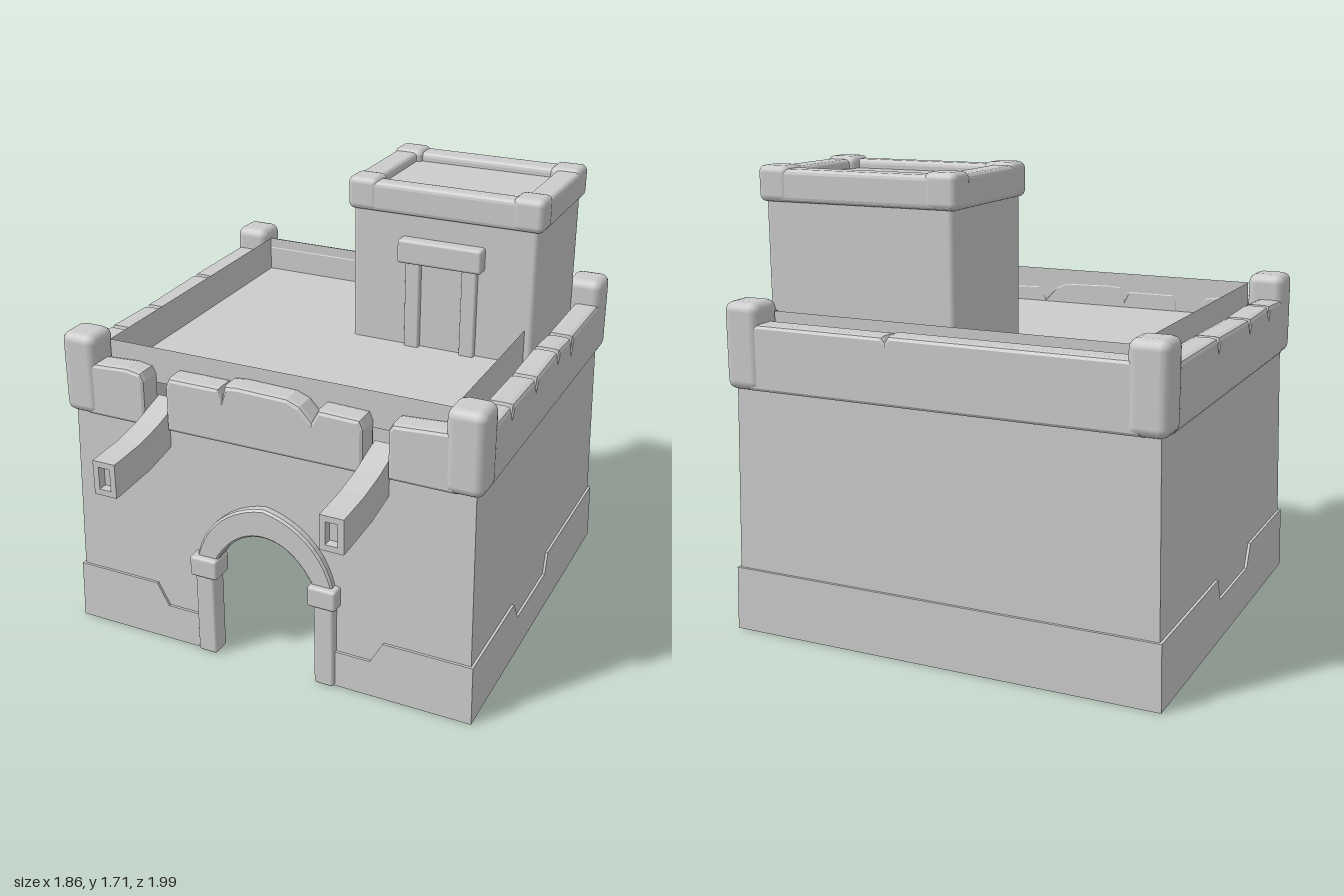
import * as THREE from 'three';
import { RoundedBoxGeometry } from 'three/addons/geometries/RoundedBoxGeometry.js';

const stone = new THREE.MeshStandardMaterial({ color: 0xcccccc, side: THREE.DoubleSide });
stone.name = 'stone';

const HW = 0.825, HD = 0.735;      // half width and half depth of the walls at the ground
const WALL_TOP = 0.94, TAPER = 0.02;
const lean = (y) => (TAPER * y) / WALL_TOP;

function add(parent, name, geometry, x = 0, y = 0, z = 0) {
  const mesh = new THREE.Mesh(geometry, stone);
  mesh.name = name;
  mesh.position.set(x, y, z);
  parent.add(mesh);
  return mesh;
}
const block = (w, h, d, r = 0.012) => new RoundedBoxGeometry(w, h, d, 2, r);
const poly = (pts) => new THREE.Shape(pts.map(([x, y]) => new THREE.Vector2(x, y)));

// Lean a flat panel inward with height
function leaning(geometry) {
  const p = geometry.attributes.position;
  for (let i = 0; i < p.count; i++) p.setZ(i, p.getZ(i) - lean(p.getY(i)));
  geometry.computeVertexNormals();
  return geometry;
}

// One wall sheet; optionally with the gateway cut out of its foot
function wallShape(half, gate) {
  const s = new THREE.Shape();
  s.moveTo(-half, 0);
  if (gate) {
    s.lineTo(-0.24, 0);
    s.lineTo(-0.24, 0.43);
    s.absellipse(0, 0.43, 0.24, 0.2, Math.PI, 0, true);
    s.lineTo(0.24, 0);
  }
  s.lineTo(half, 0);
  s.lineTo(half - TAPER, WALL_TOP);
  s.lineTo(-half + TAPER, WALL_TOP);
  return s;
}

// Thin raised footing on a wall
function footing(side, pts) {
  const g = new THREE.ExtrudeGeometry(poly(pts), { depth: 0.01, bevelEnabled: false });
  add(side, 'footing', leaning(g));
}

// Bevelled parapet section; the top line runs from left to right
function parapet(side, top) {
  const a = top[0][0], b = top[top.length - 1][0];
  const shape = poly([[a, 0.92], [b, 0.92], ...[...top].reverse()]);
  const g = new THREE.ExtrudeGeometry(shape, {
    depth: 0.06, bevelThickness: 0.02, bevelSize: 0.014, bevelOffset: -0.014, bevelSegments: 2,
  });
  add(side, 'parapet', g, 0, 0, -0.075);
}
// Narrow V shaped seam in a parapet top
const seam = (x, y1, y2 = y1, depth = 0.04) => [[x - 0.012, y1], [x, Math.min(y1, y2) - depth], [x + 0.012, y2]];

function makeSide(castle, name, half, distance, angle, gate) {
  const pivot = new THREE.Group();
  pivot.name = name;
  pivot.rotation.y = angle;
  castle.add(pivot);
  const side = new THREE.Group();
  side.name = name + 'Panel';
  side.position.z = distance;
  pivot.add(side);
  add(side, 'wall', leaning(new THREE.ShapeGeometry(wallShape(half, gate), 16)));
  return side;
}

function buildGate(front) {
  const gate = new THREE.Group();
  gate.name = 'gateway';
  front.add(gate);
  const arch = new THREE.Shape();
  arch.moveTo(-0.285, 0.42);
  arch.bezierCurveTo(-0.25, 0.58, -0.13, 0.67, 0, 0.69);
  arch.bezierCurveTo(0.13, 0.67, 0.25, 0.58, 0.285, 0.42);
  arch.lineTo(0.2, 0.42);
  arch.bezierCurveTo(0.14, 0.53, 0.07, 0.57, 0, 0.57);
  arch.bezierCurveTo(-0.07, 0.57, -0.14, 0.53, -0.2, 0.42);
  add(gate, 'arch', new THREE.ExtrudeGeometry(arch, {
    depth: 0.05, curveSegments: 10, bevelThickness: 0.008, bevelSize: 0.008, bevelOffset: -0.008, bevelSegments: 1,
  }), 0, 0, -0.04);
  for (const s of [-1, 1]) {
    add(gate, 'jamb', block(0.08, 0.36, 0.08), s * 0.25, 0.18, -0.012);
    add(gate, 'capital', block(0.115, 0.085, 0.1), s * 0.247, 0.388, -0.008);
  }
}

// Bent beam poking out through a gap in the front parapet
function buildBeam(castle, x) {
  const beam = new THREE.Group();
  beam.name = 'beam';
  beam.position.x = x;
  castle.add(beam);
  const profile = poly([
    [0.64, 0.87], [0.74, 0.842], [0.86, 0.82], [1.05, 0.812],
    [1.05, 0.945], [0.92, 0.95], [0.8, 0.968], [0.64, 1.01],
  ]);
  const g = new THREE.ExtrudeGeometry(profile, { depth: 0.09, bevelEnabled: false });
  add(beam, 'beamShaft', g.rotateY(-Math.PI / 2).translate(0.045, 0, 0));
  const end = poly([[-0.045, 0.812], [0.045, 0.812], [0.045, 0.945], [-0.045, 0.945]]);
  end.holes.push(poly([[-0.023, 0.835], [-0.023, 0.922], [0.023, 0.922], [0.023, 0.835]]));
  add(beam, 'beamEnd', new THREE.ExtrudeGeometry(end, { depth: 0.035, bevelEnabled: false }), 0, 0, 1.05);
}

// Roof floor with a thin upright rim
function buildRoof(castle) {
  const roof = new THREE.Group();
  roof.name = 'roof';
  castle.add(roof);
  const w = 0.685, d = 0.642, y = 1.06, top = 1.2;
  add(roof, 'roofFloor', new THREE.PlaneGeometry(2 * w, 2 * d).rotateX(-Math.PI / 2), 0, y, 0);
  for (const s of [-1, 1]) {
    add(roof, 'roofRim', new THREE.PlaneGeometry(2 * w, top - y), 0, (y + top) / 2, s * d);
    add(roof, 'roofRim', new THREE.PlaneGeometry(2 * d, top - y).rotateY(Math.PI / 2), s * w, (y + top) / 2, 0);
  }
}

function buildTower(castle) {
  const tower = new THREE.Group();
  tower.name = 'tower';
  tower.position.set(0.345, 0, -0.358);
  castle.add(tower);
  add(tower, 'towerBody', block(0.745, 0.61, 0.525, 0.02), 0, 1.335, 0);

  // Cap: rounded rim around a sunken panel
  const w = 0.39, d = 0.278;
  const rim = poly([[-w + 0.02, -d], [w - 0.02, -d], [w, -d + 0.02], [w, d - 0.02],
    [w - 0.02, d], [-w + 0.02, d], [-w, d - 0.02], [-w, -d + 0.02]]);
  rim.holes.push(poly([[-0.29, -0.2], [-0.29, 0.18], [0.29, 0.18], [0.29, -0.2]]));
  const g = new THREE.ExtrudeGeometry(rim, {
    depth: 0.08, bevelThickness: 0.018, bevelSize: 0.018, bevelOffset: -0.018, bevelSegments: 3,
  });
  add(tower, 'towerCap', g.rotateX(-Math.PI / 2), 0, 1.605, 0);
  add(tower, 'capPanel', new THREE.BoxGeometry(0.62, 0.05, 0.44), 0, 1.645, 0);
  for (const x of [-w + 0.06, w - 0.06]) for (const z of [-d + 0.055, d - 0.055]) {
    add(tower, 'capCorner', block(0.125, 0.128, 0.115, 0.025), x, 1.65, z);
  }

  // Doorway
  for (const s of [-1, 1]) add(tower, 'doorPost', block(0.06, 0.37, 0.04, 0.008), s * 0.115, 1.235, 0.265);
  add(tower, 'doorLintel', block(0.34, 0.095, 0.07), 0, 1.455, 0.275);
}

export function createModel() {
  const model = new THREE.Group();
  model.name = 'fort';
  const castle = new THREE.Group();
  castle.name = 'fortBody';
  castle.position.z = -0.145;
  castle.rotation.y = -0.138;
  model.add(castle);

  const front = makeSide(castle, 'front', HW, HD, 0, true);
  const back = makeSide(castle, 'back', HW, HD, Math.PI, false);
  const sideA = makeSide(castle, 'leftSide', HD, HW, Math.PI / 2, false);
  const sideB = makeSide(castle, 'rightSide', HD, HW, -Math.PI / 2, false);

  // Stepped footings
  const fw = HW + 0.01, fd = HD + 0.01, h = 0.24, k = lean(h);
  footing(front, [[0.25, 0], [fw, 0], [fw - k, h], [0.48, h], [0.43, 0.15], [0.25, 0.15]]);
  footing(front, [[-fw, 0], [-0.25, 0], [-0.25, 0.15], [-0.43, 0.15], [-0.48, h], [-fw + k, h]]);
  footing(back, [[-fw, 0], [fw, 0], [fw - k, h], [-fw + k, h]]);
  for (const [side, m] of [[sideA, 1], [sideB, -1]]) {
    const notch = [[0.13, h], [0.1, 0.155], [-0.24, 0.155], [-0.29, h]].map(([x, y]) => [x * m, y]);
    if (m < 0) notch.reverse();
    footing(side, [[-fd, 0], [fd, 0], [fd - k, h], ...notch, [-fd + k, h]]);
  }

  // Parapets, left open in front where the beams pass
  parapet(front, [[-0.74, 1.13], [-0.56, 1.14], [-0.5, 1.13], [-0.485, 1.1]]);
  parapet(front, [[-0.395, 1.1], [-0.38, 1.135], ...seam(-0.16, 1.135, 1.15), [-0.1, 1.155], [0.1, 1.15],
    [0.15, 1.13], [0.195, 1.08], [0.22, 1.13], [0.38, 1.125], [0.395, 1.09]]);
  parapet(front, [[0.485, 1.11], [0.5, 1.135], [0.74, 1.15]]);
  parapet(back, [[-0.75, 1.165], ...seam(-0.18, 1.165, 1.17, 0.015), [0.75, 1.17]]);
  parapet(sideA, [[-0.66, 1.15], ...seam(-0.45, 1.15), ...seam(-0.185, 1.145), ...seam(0.075, 1.15),
    ...seam(0.25, 1.14, 1.14, 0.07), [0.66, 1.14]]);
  parapet(sideB, [[-0.66, 1.15], ...seam(-0.207, 1.15), ...seam(0.175, 1.145), ...seam(0.43, 1.15), [0.66, 1.14]]);

  // Corner merlons
  for (const x of [-1, 1]) for (const z of [-1, 1]) {
    add(castle, 'cornerMerlon', block(0.145, 0.32, 0.145, 0.035), x * 0.764, 1.08, z * 0.674);
  }

  buildGate(front);
  for (const x of [-0.44, 0.44]) buildBeam(castle, x);
  buildRoof(castle);
  buildTower(castle);
  return model;
}
